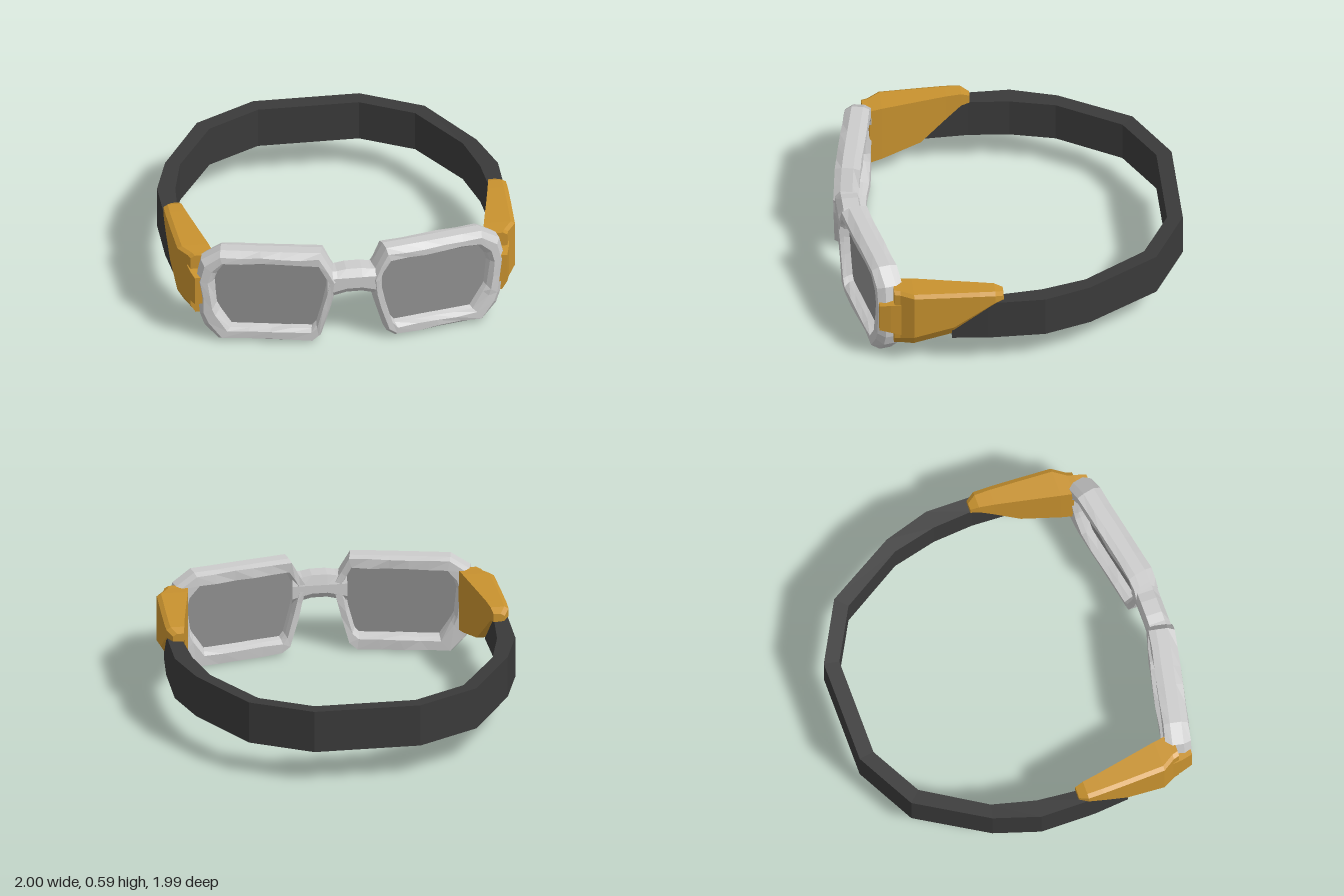
import * as THREE from 'three';

const paint = (color) => new THREE.MeshStandardMaterial({ color, flatShading: true, side: THREE.DoubleSide });

// Skin a series of rings (arrays of [x,y,z]); loop joins last to first, otherwise ends are capped.
function loft(rings, loop = false) {
  const out = [];
  const n = rings[0].length;
  const tri = (a, b, c) => out.push([a, b, c]);
  const count = loop ? rings.length : rings.length - 1;
  for (let i = 0; i < count; i++) {
    const a = rings[i], b = rings[(i + 1) % rings.length];
    for (let j = 0; j < n; j++) {
      const k = (j + 1) % n;
      tri(a[j], a[k], b[k]);
      tri(a[j], b[k], b[j]);
    }
  }
  if (!loop) {
    const first = rings[0], last = rings[rings.length - 1];
    for (let j = 1; j < n - 1; j++) {
      tri(first[0], first[j + 1], first[j]);
      tri(last[0], last[j], last[j + 1]);
    }
  }
  // Face outwards: a negative enclosed volume means every triangle is reversed
  let volume = 0;
  for (const [a, b, c] of out) {
    volume += a[0] * (b[1] * c[2] - b[2] * c[1]) + a[1] * (b[2] * c[0] - b[0] * c[2]) + a[2] * (b[0] * c[1] - b[1] * c[0]);
  }
  const flat = out.flatMap(([a, b, c]) => (volume < 0 ? [a, c, b] : [a, b, c])).flat();
  const geo = new THREE.BufferGeometry();
  geo.setAttribute('position', new THREE.Float32BufferAttribute(flat, 3));
  geo.computeVertexNormals();
  return geo;
}

function seeded(seed) {
  return () => {
    seed = (seed * 16807) % 2147483647;
    return seed / 2147483647 - 0.5;
  };
}

// Matching outer and inner outlines of one eye, in front projection
const OUTER = [[0.2, 0.6], [0.77, 0.6], [0.88, 0.53], [0.91, 0.4], [0.885, 0.17], [0.86, 0.1],
  [0.78, 0.01], [0.25, 0.01], [0.2, 0.05], [0.15, 0.22], [0.1, 0.42]];
const INNER = [[0.21, 0.515], [0.75, 0.515], [0.795, 0.45], [0.81, 0.4], [0.795, 0.24], [0.775, 0.2],
  [0.71, 0.1], [0.25, 0.1], [0.225, 0.13], [0.19, 0.26], [0.16, 0.41]];

// Each eye is swept back towards the temple
const place = (side, x, y, d) => [side * (x + 0.2 * d), y, 0.99 - 0.205 * Math.max(0, x - 0.12) + d];

// Split long outline edges so that the rim gets its chipped facets
function subdivide(points) {
  return points.flatMap((p, i) => {
    const q = points[(i + 1) % points.length];
    const o = OUTER[i], r = OUTER[(i + 1) % OUTER.length];
    const steps = Math.max(1, Math.round(Math.hypot(r[0] - o[0], r[1] - o[1]) / 0.12));
    return Array.from({ length: steps }, (_, s) => {
      const t = s / steps;
      return [p[0] + (q[0] - p[0]) * t, p[1] + (q[1] - p[1]) * t];
    });
  });
}

function rim(side) {
  const rand = seeded(side > 0 ? 421 : 977);
  const outer = subdivide(OUTER), inner = subdivide(INNER);
  // [blend from outer to inner outline, depth, chip size]
  const profile = [[0.12, -0.15, 0.008], [0, -0.11, 0.004], [0, -0.045, 0.006], [0.3, 0, 0.014],
    [0.75, 0, 0.012], [0.95, -0.03, 0.008], [1.1, -0.07, 0], [0.95, -0.12, 0.008], [0.8, -0.15, 0.008]];
  const rings = outer.map((o, i) => profile.map(([t, d, chip]) => place(
    side,
    o[0] + (inner[i][0] - o[0]) * t + (t > 0 ? rand() * chip : 0),
    o[1] + (inner[i][1] - o[1]) * t + (t > 0 ? rand() * chip : 0),
    d + (d < 0 ? rand() : -Math.abs(rand())) * chip)));
  return loft(rings, true);
}

function lens(side) {
  return loft([-0.06, -0.085].map((d) => INNER.map(([x, y]) => place(side, x, y, d))));
}

// Temple bracket: sections along z as [z, inner x, outer x, bottom, top, lower bevel]
function bracket(side) {
  const sections = [
    [0.11, 0.905, 0.97, 0.46, 0.51, 0.01],
    [0.16, 0.895, 1.0, 0.45, 0.532, 0.02],
    [0.25, 0.88, 1.0, 0.37, 0.535, 0.04],
    [0.4, 0.85, 0.995, 0.235, 0.535, 0.07],
    [0.63, 0.803, 0.985, 0.17, 0.535, 0.07],
    [0.705, 0.79, 0.935, 0.155, 0.53, 0.05],
    [0.74, 0.84, 0.925, 0.15, 0.53, 0.05]];
  return loft(sections.map(([z, xi, xo, yb, yt, bevel]) => [
    [xi, yb, z], [xi, yt, z], [xo - 0.025, yt, z], [xo, yt - 0.015, z], [xo, yb + bevel, z], [xo - bevel * 0.6, yb, z],
  ].map(([x, y, zz]) => [side * x, y, zz])));
}

// Tongue that hooks the bracket onto the outer edge of the rim
function tongue(side) {
  return loft([[0.7, 0.94, 0.23, 0.45], [0.76, 0.93, 0.245, 0.44], [0.825, 0.912, 0.255, 0.43]].map(
    ([z, xo, yb, yt]) => [[0.85, yb], [0.85, yt], [xo, yt], [xo, yb]].map(([x, y]) => [side * x, y, z])));
}

// Head strap: [outer x, outer z, inner x, inner z], mirrored to a horseshoe
function strap() {
  const half = [[0.31, -1, 0.295, -0.91], [0.665, -0.81, 0.6, -0.745], [0.91, -0.4, 0.825, -0.38],
    [0.995, -0.13, 0.89, -0.12], [0.995, 0.2, 0.91, 0.12], [0.975, 0.41, 0.9, 0.41]];
  const path = [...half.map(([a, b, c, d]) => [-a, b, -c, d]).reverse(), ...half];
  return loft(path.map(([xo, zo, xi, zi]) => {
    const top = 0.465 - 0.005 * zo;
    return [[xo, 0.215, zo], [xo, top, zo], [xi, top - 0.005, zi], [xi, 0.22, zi]];
  }));
}

// Nose bridge, narrowest in the middle
function bridge() {
  return loft([-0.16, -0.1, -0.045, 0.045, 0.1, 0.16].map((x) => {
    const e = Math.abs(x) > 0.05 ? 1 : 0;
    const bottom = 0.34 - 0.25 * Math.max(0, Math.abs(x) - 0.045);
    return [[x, bottom, 0.87], [x, bottom, 0.95], [x, bottom + 0.035, 0.975], [x, 0.445, 0.975],
      [x, 0.49 - 0.01 * e, 0.945], [x, 0.49 - 0.01 * e, 0.85], [x, 0.43, 0.835], [x, bottom + 0.04, 0.835]];
  }));
}

export function createModel() {
  const model = new THREE.Group();
  model.name = 'goggles';
  const frameMat = paint(0xcccccc), lensMat = paint(0x8f8f8f), goldMat = paint(0xc8922f), strapMat = paint(0x3a3a3a);
  const add = (name, geometry, material) => {
    const mesh = new THREE.Mesh(geometry, material);
    mesh.name = name;
    model.add(mesh);
  };
  for (const [side, label] of [[1, 'left'], [-1, 'right']]) {
    add(label + 'Rim', rim(side), frameMat);
    add(label + 'Lens', lens(side), lensMat);
    add(label + 'Bracket', bracket(side), goldMat);
    add(label + 'BracketTongue', tongue(side), goldMat);
  }
  add('noseBridge', bridge(), frameMat);
  add('headStrap', strap(), strapMat);
  return model;
}
